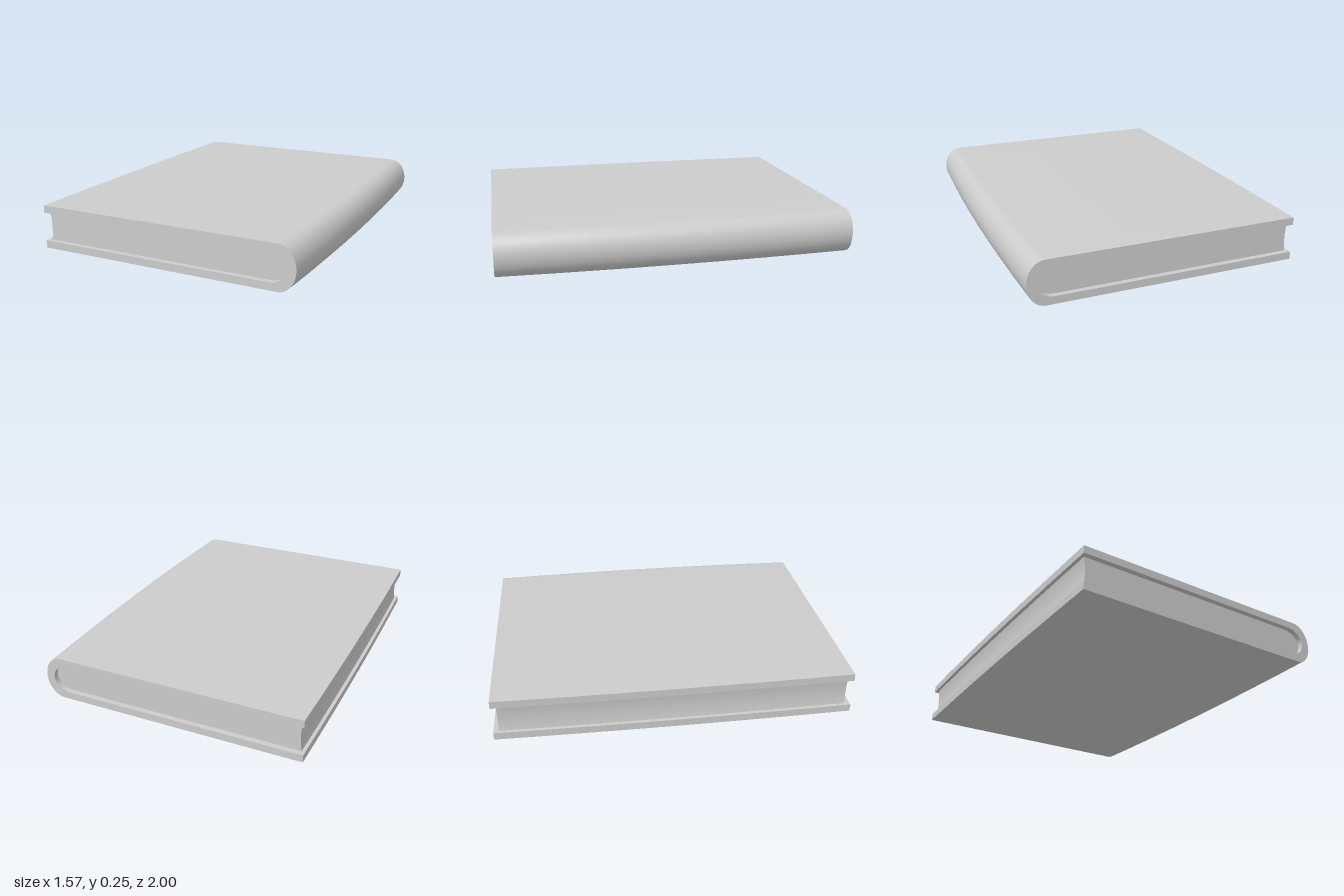
import * as THREE from 'three';
import { toCreasedNormals } from 'three/addons/utils/BufferGeometryUtils.js';

const H = 0.25;      // overall thickness
const BOARD = 0.043; // cover board thickness
const MID = H / 2;

// Extrude a section along z, then bow it outwards towards the middle of its length
function bowed(shape, halfLength, name) {
  const geo = new THREE.ExtrudeGeometry(shape, {
    depth: 2 * halfLength, steps: 8, curveSegments: 12, bevelEnabled: false,
  });
  geo.translate(0, 0, -halfLength);
  const p = geo.attributes.position;
  for (let i = 0; i < p.count; i++) {
    const x = p.getX(i), z = p.getZ(i);
    p.setX(i, x + (1 - z * z) * 0.0227 * (x + 0.34));
  }
  const mesh = new THREE.Mesh(
    toCreasedNormals(geo, 0.6),
    new THREE.MeshStandardMaterial({ color: 0xcccccc }),
  );
  mesh.name = name;
  return mesh;
}

export function createModel() {
  const book = new THREE.Group();
  book.name = 'book';

  // Cover: two boards joined by a rounded spine on the +x side
  const cover = new THREE.Shape();
  cover.moveTo(-0.775, 0);
  cover.lineTo(0.66, 0);
  cover.absellipse(0.66, MID, 0.1, MID, -Math.PI / 2, Math.PI / 2, false);
  cover.lineTo(-0.775, H);
  cover.lineTo(-0.775, H - BOARD);
  cover.lineTo(0.61, H - BOARD);
  cover.absellipse(0.61, MID, 0.1, MID - BOARD, Math.PI / 2, -Math.PI / 2, true);
  cover.lineTo(-0.775, BOARD);
  cover.closePath();
  book.add(bowed(cover, 1, 'cover'));

  // Page block: rounded into the spine, slightly hollow fore-edge, set back at both ends
  const pages = new THREE.Shape();
  pages.moveTo(-0.756, BOARD);
  pages.lineTo(0.61, BOARD);
  pages.absellipse(0.61, MID, 0.1, MID - BOARD, -Math.PI / 2, Math.PI / 2, false);
  pages.lineTo(-0.756, H - BOARD);
  pages.quadraticCurveTo(-0.742, MID, -0.756, BOARD);
  book.add(bowed(pages, 0.97, 'pages'));

  return book;
}
